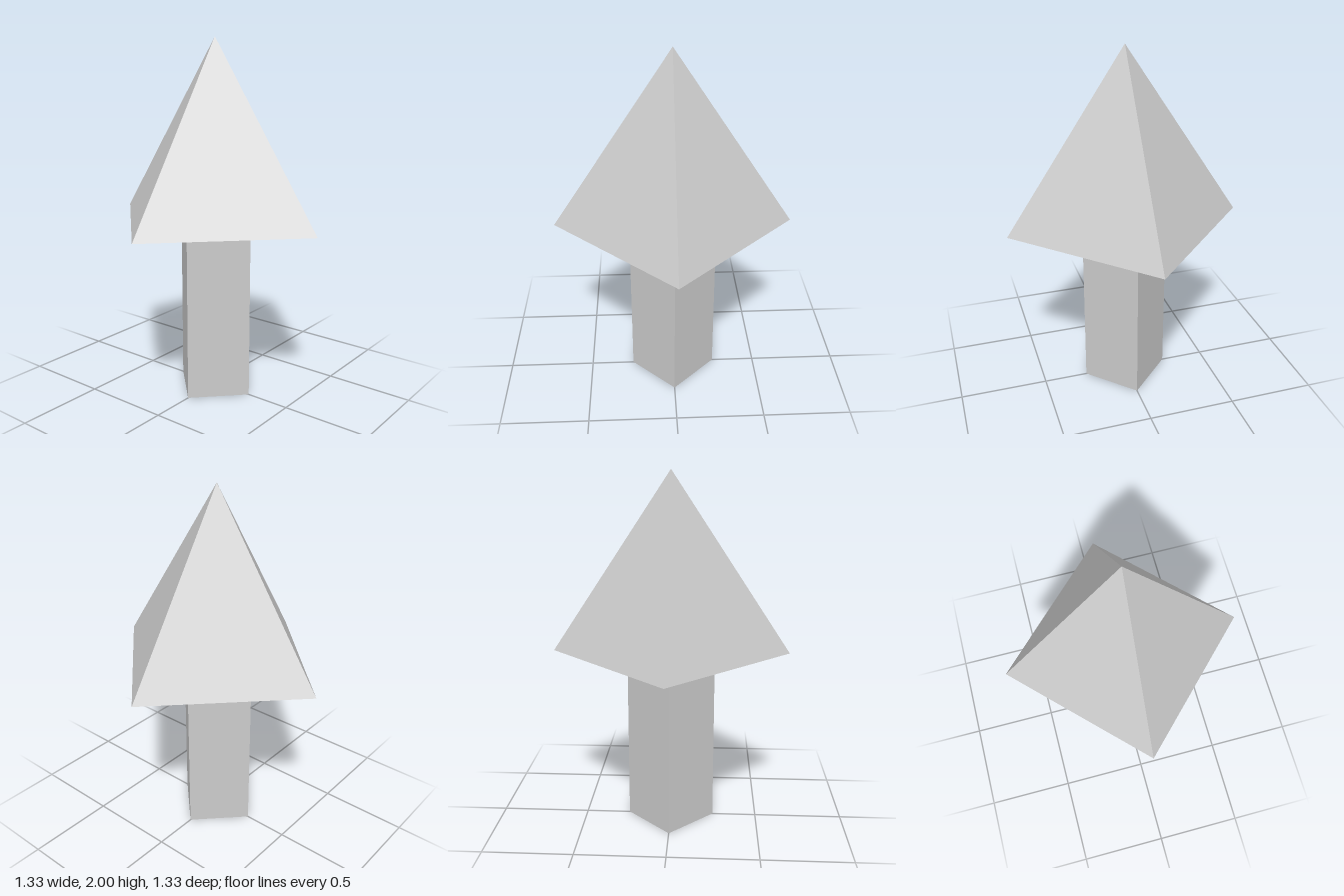
import * as THREE from 'three';

export function createModel() {
  const group = new THREE.Group();
  const material = new THREE.MeshStandardMaterial({ color: 0xcccccc, flatShading: true });

  const addPart = (name, geometry, y) => {
    const mesh = new THREE.Mesh(geometry, material);
    mesh.name = name;
    mesh.position.y = y;
    group.add(mesh);
  };

  // Square post, corners on the x and z axes
  addPart('trunk', new THREE.CylinderGeometry(0.247, 0.247, 1, 4), 0.5);

  // Four-sided pyramid with a closed base, aligned with the post
  addPart('crown', new THREE.ConeGeometry(0.665, 1, 4), 1.5);

  return group;
}
